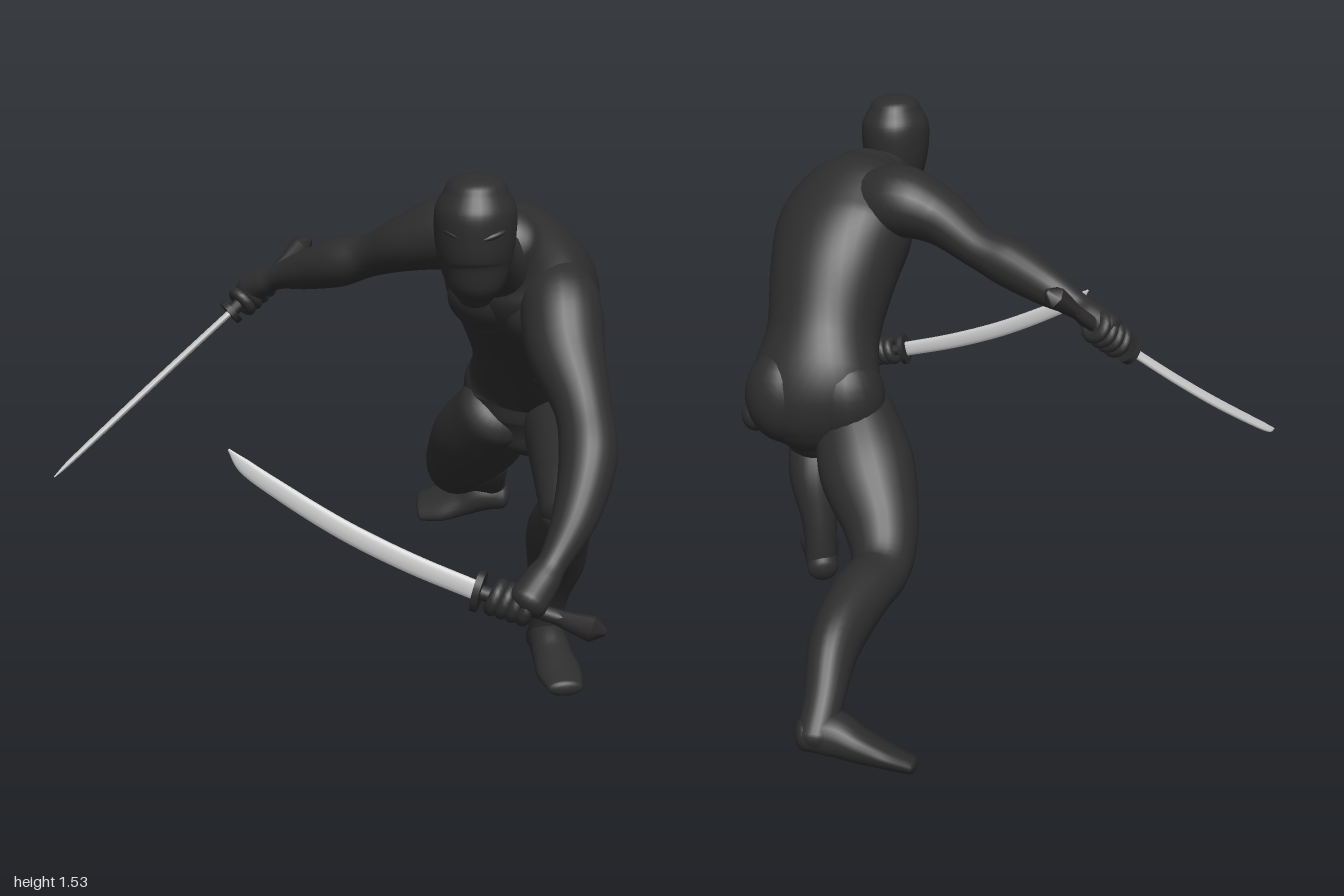
import * as THREE from 'three';

const V = (x, y, z) => new THREE.Vector3(x, y, z);

// Skin elliptical sections [x, y, z, halfWidth, halfDepth, yaw] along a smooth path, with rounded ends.
function loft(sections, { side = V(1, 0, 0), radial = 24, steps = 6, cap = 0.6, floor = -Infinity } = {}) {
  const path = new THREE.CatmullRomCurve3(sections.map(s => V(s[0], s[1], s[2])));
  const size = new THREE.CatmullRomCurve3(
    sections.map(s => V(s[3], s[4] ?? s[3], s[5] ?? 0)), false, 'catmullrom', 0.5);
  const n = (sections.length - 1) * steps;
  const stations = [];
  for (let k = 0; k < 5; k++) stations.push([0, k / 5, -1]);
  for (let i = 0; i <= n; i++) stations.push([i / n, 1, 0]);
  for (let k = 4; k >= 0; k--) stations.push([1, k / 5, 1]);

  const pos = [], index = [];
  for (const [t, k, end] of stations) {
    const c = path.getPoint(t), T = path.getTangent(t), r = size.getPoint(t);
    const N = side.clone().applyAxisAngle(V(0, 1, 0), -r.z);
    N.addScaledVector(T, -N.dot(T)).normalize();
    const B = T.clone().cross(N);
    const shrink = Math.max(Math.sin(k * Math.PI / 2), 0.001);
    c.addScaledVector(T, end * cap * Math.min(r.x, r.y) * Math.cos(k * Math.PI / 2));
    for (let j = 0; j < radial; j++) {
      const a = j / radial * Math.PI * 2;
      const p = c.clone().addScaledVector(N, Math.cos(a) * r.x * shrink)
        .addScaledVector(B, Math.sin(a) * r.y * shrink);
      pos.push(p.x, Math.max(p.y, floor), p.z);
    }
  }
  for (let i = 0; i < stations.length - 1; i++) {
    for (let j = 0; j < radial; j++) {
      const a = i * radial + j, b = i * radial + (j + 1) % radial;
      index.push(a, b, b + radial, a, b + radial, a + radial);
    }
  }
  const g = new THREE.BufferGeometry();
  g.setAttribute('position', new THREE.Float32BufferAttribute(pos, 3));
  g.setIndex(index);
  g.computeVertexNormals();
  return g;
}

export function createModel() {
  const model = new THREE.Group();
  const suit = new THREE.MeshStandardMaterial({ color: 0x2d2d2d });
  suit.name = 'charcoal suit';
  const grip = new THREE.MeshStandardMaterial({ color: 0x2b292a });
  grip.name = 'dark grip';
  const steel = new THREE.MeshStandardMaterial({ color: 0xcccccc });
  steel.name = 'steel';

  const add = (name, geometry, material = suit, parent = model) => {
    const m = new THREE.Mesh(geometry, material);
    m.name = name;
    parent.add(m);
    return m;
  };
  const blob = (name, p, s, yaw = 0, pitch = 0) => {
    const m = add(name, new THREE.SphereGeometry(1, 24, 16));
    m.position.set(...p);
    m.scale.set(...s);
    m.rotation.set(pitch, yaw, 0, 'YXZ');
    return m;
  };

  // Torso leans forward, shoulders twisted with the left one ahead and lower
  add('torso', loft([
    [0.57, 0.62, -0.07, 0.11, 0.09, 0],
    [0.575, 0.69, -0.08, 0.18, 0.13, 0],
    [0.58, 0.79, -0.08, 0.205, 0.15, 0],
    [0.57, 0.93, 0.015, 0.175, 0.16, 0.15],
    [0.555, 1.09, 0.13, 0.205, 0.18, 0.35],
    [0.535, 1.195, 0.23, 0.23, 0.18, 0.45],
    [0.505, 1.285, 0.31, 0.185, 0.15, 0.45],
    [0.485, 1.335, 0.38, 0.11, 0.09, 0.3],
  ], { radial: 36, side: V(1, -0.28, 0) }));
  add('neck', loft([[0.485, 1.27, 0.36, 0.11], [0.46, 1.3, 0.45, 0.085], [0.44, 1.33, 0.53, 0.078]]));
  blob('rightPectoral', [0.44, 1.14, 0.315], [0.105, 0.09, 0.065], -0.45, 0.5);
  blob('leftPectoral', [0.6, 1.1, 0.37], [0.105, 0.09, 0.065], -0.3, 0.5);
  for (let row = 0; row < 3; row++) {
    for (const s of [-1, 1]) {
      const k = row / 2;
      blob('abdominal', [0.535 + 0.03 * k + s * 0.05, 1.02 - 0.12 * k - s * 0.012, 0.255 - 0.11 * k + s * 0.015],
        [0.07, 0.05, 0.032], -0.3, 0.6);
    }
  }
  blob('rightButtock', [0.49, 0.77, -0.105], [0.125, 0.15, 0.12]);
  blob('leftButtock', [0.665, 0.77, -0.105], [0.125, 0.15, 0.12]);
  blob('rightHipKnob', [0.385, 0.7, -0.11], [0.05, 0.05, 0.05]);
  blob('leftHipKnob', [0.77, 0.69, -0.075], [0.045, 0.053, 0.053]);

  // Masked head, narrowing to the chin
  add('head', loft([
    [0.435, 1.205, 0.57, 0.04, 0.038],
    [0.435, 1.25, 0.572, 0.075, 0.083],
    [0.432, 1.31, 0.562, 0.095, 0.112],
    [0.43, 1.38, 0.563, 0.106, 0.123],
    [0.43, 1.45, 0.565, 0.105, 0.122],
    [0.43, 1.5, 0.567, 0.08, 0.092],
  ], { radial: 32, cap: 0.45 }));
  for (const s of [-1, 1]) {
    const brow = blob('brow', [0.433 + s * 0.042, 1.395, 0.658], [0.042, 0.011, 0.02]);
    brow.rotation.set(0, s * 0.4, s * 0.3);
  }

  // Arms run through to the palms
  add('rightArm', loft([
    [0.43, 1.28, 0.21, 0.11],
    [0.34, 1.3, 0.175, 0.12, 0.11],
    [0.23, 1.268, 0.145, 0.1, 0.085],
    [0.1, 1.205, 0.06, 0.072, 0.063],
    [0.0, 1.17, 0.02, 0.075, 0.072],
    [-0.12, 1.125, -0.05, 0.058],
    [-0.21, 1.09, -0.1, 0.038],
    [-0.25, 1.07, -0.125, 0.047, 0.042],
    [-0.3, 1.04, -0.155, 0.05, 0.05],
  ], { side: V(0, 0, 1) }));
  add('leftArm', loft([
    [0.635, 1.19, 0.33, 0.1],
    [0.655, 1.15, 0.4, 0.11, 0.105],
    [0.672, 1.06, 0.48, 0.105, 0.092],
    [0.725, 0.93, 0.6, 0.076, 0.072],
    [0.742, 0.83, 0.68, 0.076],
    [0.715, 0.7, 0.78, 0.06],
    [0.665, 0.605, 0.86, 0.039],
    [0.64, 0.57, 0.89, 0.047, 0.044],
    [0.605, 0.525, 0.937, 0.052, 0.05],
  ]));

  // Legs: left bent in front, right stretched behind
  add('leftThigh', loft([
    [0.665, 0.73, -0.08, 0.115],
    [0.68, 0.69, 0.06, 0.122],
    [0.69, 0.665, 0.22, 0.11],
    [0.695, 0.62, 0.38, 0.09],
    [0.695, 0.585, 0.445, 0.077],
  ]));
  add('leftCalf', loft([
    [0.695, 0.58, 0.425, 0.078],
    [0.672, 0.47, 0.315, 0.09, 0.103],
    [0.668, 0.35, 0.225, 0.085, 0.092],
    [0.65, 0.22, 0.175, 0.06, 0.066],
    [0.645, 0.13, 0.158, 0.052, 0.057],
    [0.645, 0.07, 0.155, 0.052, 0.057],
  ]));
  add('rightLeg', loft([
    [0.47, 0.71, -0.06, 0.12],
    [0.41, 0.58, -0.19, 0.145, 0.125],
    [0.345, 0.45, -0.32, 0.112, 0.1],
    [0.33, 0.375, -0.43, 0.088, 0.08],
    [0.37, 0.35, -0.55, 0.086],
    [0.41, 0.29, -0.72, 0.073, 0.092],
    [0.415, 0.2, -0.86, 0.056],
    [0.425, 0.125, -0.935, 0.054],
  ]));
  const footShape = loft([
    [0, 0.05, -0.045, 0.05, 0.05],
    [0, 0.065, 0.02, 0.055, 0.065],
    [0, 0.048, 0.1, 0.06, 0.05],
    [0, 0.034, 0.18, 0.066, 0.037],
    [0, 0.024, 0.255, 0.052, 0.025],
  ], { floor: 0 });
  const leftFoot = add('leftFoot', footShape);
  leftFoot.position.set(0.645, 0.005, 0.165);
  leftFoot.rotation.y = 0.26;
  const rightFoot = add('rightFoot', footShape);
  rightFoot.position.set(0.42, 0.073, -0.938);
  rightFoot.scale.x = 1.28;
  rightFoot.rotation.set(0.17, -Math.PI / 2, -0.52, 'YXZ');

  // Curved sword: local +y to the tip, +x to the cutting edge, guard at the origin
  const bladeShape = loft([
    [0, 0, 0, 0.027, 0.01],
    [0.022, 0.19, 0, 0.028, 0.01],
    [0.03, 0.38, 0, 0.028, 0.01],
    [0.02, 0.57, 0, 0.026, 0.009],
    [0.006, 0.69, 0, 0.021, 0.007],
    [-0.014, 0.745, 0, 0.003, 0.002],
  ], { radial: 12, cap: 0.2 });

  function sword(name, guard, tip, edge) {
    const g = new THREE.Group();
    g.name = name;
    const Y = tip.clone().sub(guard).normalize();
    const X = edge.clone().addScaledVector(Y, -edge.dot(Y)).normalize();
    g.quaternion.setFromRotationMatrix(new THREE.Matrix4().makeBasis(X, Y, X.clone().cross(Y)));
    g.position.copy(guard);
    model.add(g);
    add('blade', bladeShape, steel, g);

    const hilt = new THREE.Group();
    hilt.name = 'hilt';
    hilt.rotation.z = -0.2;
    g.add(hilt);
    const disc = add('guard', new THREE.CylinderGeometry(0.055, 0.055, 0.018, 20), grip, hilt);
    disc.scale.z = 0.75;
    const handle = add('handle', new THREE.CylinderGeometry(0.02, 0.02, 0.28, 12), grip, hilt);
    handle.position.y = -0.14;
    const flare = add('pommelFlare', new THREE.CylinderGeometry(0.019, 0.036, 0.1, 6), grip, hilt);
    flare.position.y = -0.25;
    const end = add('pommelTip', new THREE.CylinderGeometry(0.036, 0.008, 0.035, 6), grip, hilt);
    end.position.y = -0.3175;

    // Fingers wrapped round the grip
    const ring = new THREE.TorusGeometry(0.034, 0.018, 10, 20).rotateX(Math.PI / 2);
    for (let i = 0; i < 4; i++) {
      const finger = add('finger', ring, suit, hilt);
      finger.position.y = -0.048 - i * 0.028;
      finger.rotation.z = 0.18;
    }
  }
  sword('rightSword', V(-0.36, 0.97, -0.12), V(-0.82, 0.55, 0.28), V(-0.336, -0.307, -0.708));
  sword('leftSword', V(0.48, 0.53, 0.9), V(-0.2, 0.82, 0.76), V(-0.4, -0.92, 0));

  return model;
}
